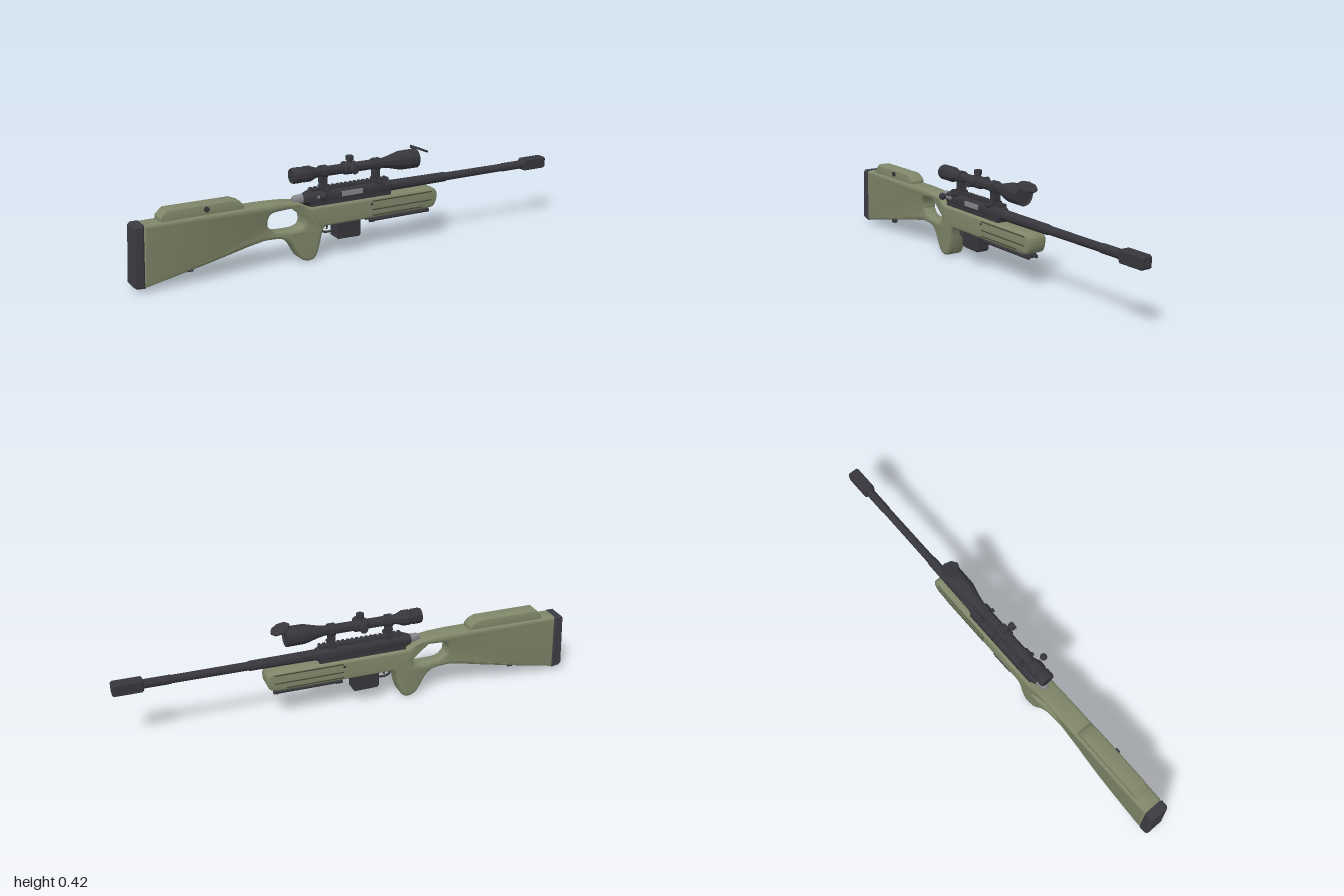
import * as THREE from 'three';
import { toCreasedNormals } from 'three/addons/utils/BufferGeometryUtils.js';

const mat = (name, color) => {
  const m = new THREE.MeshStandardMaterial({ color });
  m.name = name;
  return m;
};

export function createModel() {
  const olive = mat('olive stock', 0x7f8669);
  const darkOlive = mat('groove olive', 0x454a39);
  const black = mat('black metal', 0x36363c);
  const pad = mat('rubber', 0x3b3b42);
  const steel = mat('bare steel', 0x85868a);

  const model = new THREE.Group();
  const gun = new THREE.Group();
  gun.name = 'rifle';
  gun.position.z = -0.018; // bore plane
  model.add(gun);

  const add = (name, geo, material, x = 0, y = 0, z = 0) => {
    const m = new THREE.Mesh(geo, material);
    m.name = name;
    m.position.set(x, y, z);
    gun.add(m);
    return m;
  };
  const box = (name, material, x0, x1, y0, y1, z0, z1) =>
    add(name, new THREE.BoxGeometry(x1 - x0, y1 - y0, z1 - z0), material,
      (x0 + x1) / 2, (y0 + y1) / 2, (z0 + z1) / 2);
  // Turned part along x from [x, radius] pairs
  const turned = (name, material, y, pts, sides = 24, z = 0) => {
    const g = new THREE.LatheGeometry(pts.map(([x, r]) => new THREE.Vector2(r, x)), sides);
    g.rotateZ(-Math.PI / 2);
    return add(name, toCreasedNormals(g, 0.6), material, 0, y, z);
  };
  // Rod between two points
  const rod = (name, material, a, b, r, sides = 12) => {
    const p = new THREE.Vector3(...a), q = new THREE.Vector3(...b);
    const d = q.clone().sub(p);
    const m = add(name, new THREE.CylinderGeometry(r, r, d.length(), sides), material);
    m.position.copy(p).add(q).multiplyScalar(0.5);
    m.quaternion.setFromUnitVectors(new THREE.Vector3(0, 1, 0), d.normalize());
    return m;
  };
  const vecs = (pts) => pts.map(([x, y]) => new THREE.Vector2(x, y));
  // Side outline given thickness and bevelled edges
  const slab = (shape, width, bevel, segs = 3) => {
    const g = new THREE.ExtrudeGeometry(shape, {
      depth: width - 2 * bevel, bevelThickness: bevel, bevelSize: bevel,
      bevelOffset: -bevel, bevelSegments: segs, curveSegments: 8,
    });
    return g.translate(0, 0, bevel - width / 2);
  };

  // Thumbhole stock with grip and fore-end
  const s = new THREE.Shape();
  s.moveTo(-0.955, 0.016);
  for (const x of [-0.8, -0.7, -0.6, -0.52]) s.lineTo(x, 0.016 + (x + 0.955) * 0.2);
  s.lineTo(-0.445, 0.116);
  s.splineThru(vecs([[-0.37, 0.112], [-0.33, 0.085], [-0.3, 0.035], [-0.28, 0.01], [-0.25, 0.0],
    [-0.22, 0.012], [-0.2, 0.06], [-0.185, 0.12], [-0.17, 0.139]]));
  s.lineTo(0.335, 0.139);
  s.splineThru(vecs([[0.365, 0.148], [0.38, 0.175], [0.38, 0.21], [0.365, 0.227]]));
  s.lineTo(-0.24, 0.229);
  s.lineTo(-0.29, 0.256);
  s.lineTo(-0.36, 0.266);
  for (const x of [-0.45, -0.6, -0.75]) s.lineTo(x, 0.27);
  s.lineTo(-0.945, 0.267);
  const hole = new THREE.Path();
  hole.moveTo(-0.43, 0.175);
  hole.splineThru(vecs([[-0.43, 0.205], [-0.412, 0.23], [-0.36, 0.236], [-0.3, 0.236], [-0.275, 0.22],
    [-0.268, 0.185], [-0.272, 0.155], [-0.3, 0.142], [-0.35, 0.142], [-0.4, 0.148], [-0.43, 0.175]]));
  s.holes.push(hole);
  const stockGeo = slab(s, 0.088, 0.013);
  const p = stockGeo.attributes.position;
  for (let i = 0; i < p.count; i++) { // scoop the lower neck
    const low = THREE.MathUtils.smoothstep(0.26 - p.getY(i), 0, 0.13);
    const k = 0.32 * low * Math.exp(-(((p.getX(i) + 0.45) / 0.16) ** 2));
    p.setZ(i, p.getZ(i) * (1 - k));
  }
  add('stock', toCreasedNormals(stockGeo, 0.55), olive);

  // Butt pad and cheek rest
  add('buttPad', slab(new THREE.Shape(vecs([[-0.998, 0.028], [-0.988, 0.02], [-0.953, 0.014],
    [-0.943, 0.268], [-0.975, 0.268], [-0.984, 0.258]])), 0.088, 0.006, 1), pad);
  const cheek = new THREE.Shape(vecs([[-0.88, 0.262], [-0.53, 0.262], [-0.53, 0.282],
    [-0.545, 0.3], [-0.575, 0.313], [-0.85, 0.313], [-0.88, 0.285]]));
  add('cheekRest', toCreasedNormals(slab(cheek, 0.07, 0.012), 0.5), olive);
  rod('cheekScrew', black, [-0.69, 0.292, 0.03], [-0.69, 0.292, 0.042], 0.011);
  box('slingStud', black, -0.77, -0.745, 0.038, 0.055, -0.008, 0.008);

  // Fore-end grooves on both sides
  for (const side of [-1, 1]) {
    const z = side * 0.044;
    for (const [y, x0, x1] of [[0.178, 0.05, 0.35], [0.215, 0.05, 0.35], [0.153, 0.05, 0.3]])
      box('foreEndGroove', darkOlive, x0, x1, y - 0.0025, y + 0.0025, z - 0.001, z + 0.001);
    box('stockPin', black, 0.042, 0.052, 0.198, 0.208, z - 0.001, z + 0.001);
  }

  // Receiver, ejection port, tang and rail
  turned('receiver', black, 0.26, [[-0.262, 0], [-0.262, 0.022], [-0.235, 0.033], [0.14, 0.033],
    [0.157, 0.026], [0.157, 0]]);
  box('receiverBase', black, -0.235, 0.15, 0.222, 0.25, -0.03, 0.03);
  box('ejectionPort', steel, -0.09, 0.01, 0.255, 0.276, 0.027, 0.034);
  turned('boltShroud', steel, 0.263, [[-0.305, 0], [-0.305, 0.012], [-0.295, 0.018], [-0.255, 0.02], [-0.255, 0]]);
  box('rail', black, -0.225, 0.145, 0.282, 0.296, -0.017, 0.017);
  for (let i = 0; i < 18; i++) {
    const x = -0.22 + i * 0.0208;
    box('railTooth', black, x, x + 0.011, 0.295, 0.301, -0.017, 0.017);
  }

  // Bolt handle
  rod('boltHandle', steel, [-0.2, 0.262, 0.02], [-0.2, 0.28, 0.07], 0.0065);
  add('boltKnob', new THREE.SphereGeometry(0.0155, 16, 12), black, -0.2, 0.281, 0.075);

  // Barrel and ported muzzle brake
  turned('barrel', black, 0.259, [[0.15, 0], [0.15, 0.024], [0.18, 0.023], [0.445, 0.021], [0.448, 0.018],
    [0.76, 0.017], [0.763, 0.019], [0.88, 0.019], [0.88, 0]], 20);
  const brake = new THREE.Shape(vecs([[0.873, 0.24], [0.88, 0.233], [0.99, 0.233], [0.998, 0.24],
    [0.998, 0.278], [0.99, 0.285], [0.88, 0.285], [0.873, 0.278]]));
  for (const x of [0.896, 0.929, 0.962])
    brake.holes.push(new THREE.Path(vecs([[x, 0.244], [x, 0.276], [x + 0.02, 0.276], [x + 0.02, 0.244]])));
  add('muzzleBrake', slab(brake, 0.05, 0.005, 1), black);
  const bore = rod('bore', darkOlive, [0.997, 0.259, 0], [0.999, 0.259, 0], 0.009);
  bore.material = pad;

  // Magazine, trigger and guard
  add('magazine', slab(new THREE.Shape(vecs([[-0.115, 0.15], [-0.115, 0.075], [-0.105, 0.068],
    [-0.005, 0.066], [0.002, 0.074], [0.002, 0.15]])), 0.06, 0.004, 1), black);
  const guard = new THREE.CatmullRomCurve3([[-0.175, 0.142], [-0.172, 0.11], [-0.155, 0.101], [-0.11, 0.101]]
    .map(([x, y]) => new THREE.Vector3(x, y, 0)));
  add('triggerGuard', new THREE.TubeGeometry(guard, 16, 0.005, 8), black);
  rod('trigger', black, [-0.142, 0.145, 0], [-0.148, 0.112, 0], 0.004, 8);

  // Folded bipod under the fore-end
  box('bipodMount', black, 0.27, 0.34, 0.12, 0.142, -0.014, 0.014);
  box('bipodPlate', black, 0.06, 0.34, 0.13, 0.137, -0.018, 0.018);
  for (const z of [-0.019, 0.019]) {
    rod('bipodLeg', black, [0.055, 0.125, z], [0.35, 0.125, z], 0.0075);
    rod('bipodFoot', black, [0.05, 0.125, z], [0.075, 0.125, z], 0.01);
  }
  rod('bipodHinge', black, [0.335, 0.127, -0.026], [0.335, 0.127, 0.026], 0.009);

  // Telescopic sight
  const axis = 0.364;
  turned('scopeBody', black, axis, [[-0.308, 0], [-0.308, 0.03], [-0.3, 0.033], [-0.268, 0.033], [-0.265, 0.028],
    [-0.258, 0.028], [-0.255, 0.033], [-0.225, 0.033], [-0.215, 0.028], [-0.195, 0.021], [0.12, 0.021],
    [0.15, 0.026], [0.2, 0.039], [0.21, 0.041], [0.29, 0.042], [0.29, 0.037], [0.282, 0.036], [0.282, 0]], 28);
  turned('turretSaddle', black, axis, [[-0.07, 0.02], [-0.062, 0.027], [-0.012, 0.027], [-0.004, 0.02]]);
  const turret = (name, d) => {
    const at = (k) => [-0.037, axis + d[0] * k, d[1] * k];
    rod(name, black, at(0.015), at(0.036), 0.012);
    rod(name + 'Cap', black, at(0.034), at(0.052), 0.017, 16);
  };
  turret('elevationTurret', [1, 0]);
  turret('windageTurret', [0, 1]);
  turret('focusTurret', [0, -1]);

  // Scope mounts
  for (const x of [-0.163, 0.09]) {
    turned('scopeRing', black, axis, [[x - 0.014, 0.02], [x - 0.014, 0.027], [x + 0.014, 0.027], [x + 0.014, 0.02]]);
    box('mountPost', black, x - 0.012, x + 0.012, 0.296, 0.348, -0.018, 0.018);
    box('mountClamp', black, x - 0.014, x + 0.014, 0.284, 0.305, -0.023, 0.023);
    rod('clampNut', black, [x, 0.291, 0.02], [x, 0.291, 0.05], 0.009, 6);
  }

  // Flip-up lens cover
  const cover = add('lensCover', new THREE.CylinderGeometry(0.042, 0.042, 0.008, 8), black, 0.308, 0.403, 0);
  cover.rotation.z = -0.38;
  rod('coverHinge', black, [0.275, 0.413, -0.012], [0.275, 0.413, 0.012], 0.006, 8);
  rod('coverArm', black, [0.283, 0.4, 0], [0.275, 0.415, 0], 0.006, 8);
  return model;
}
